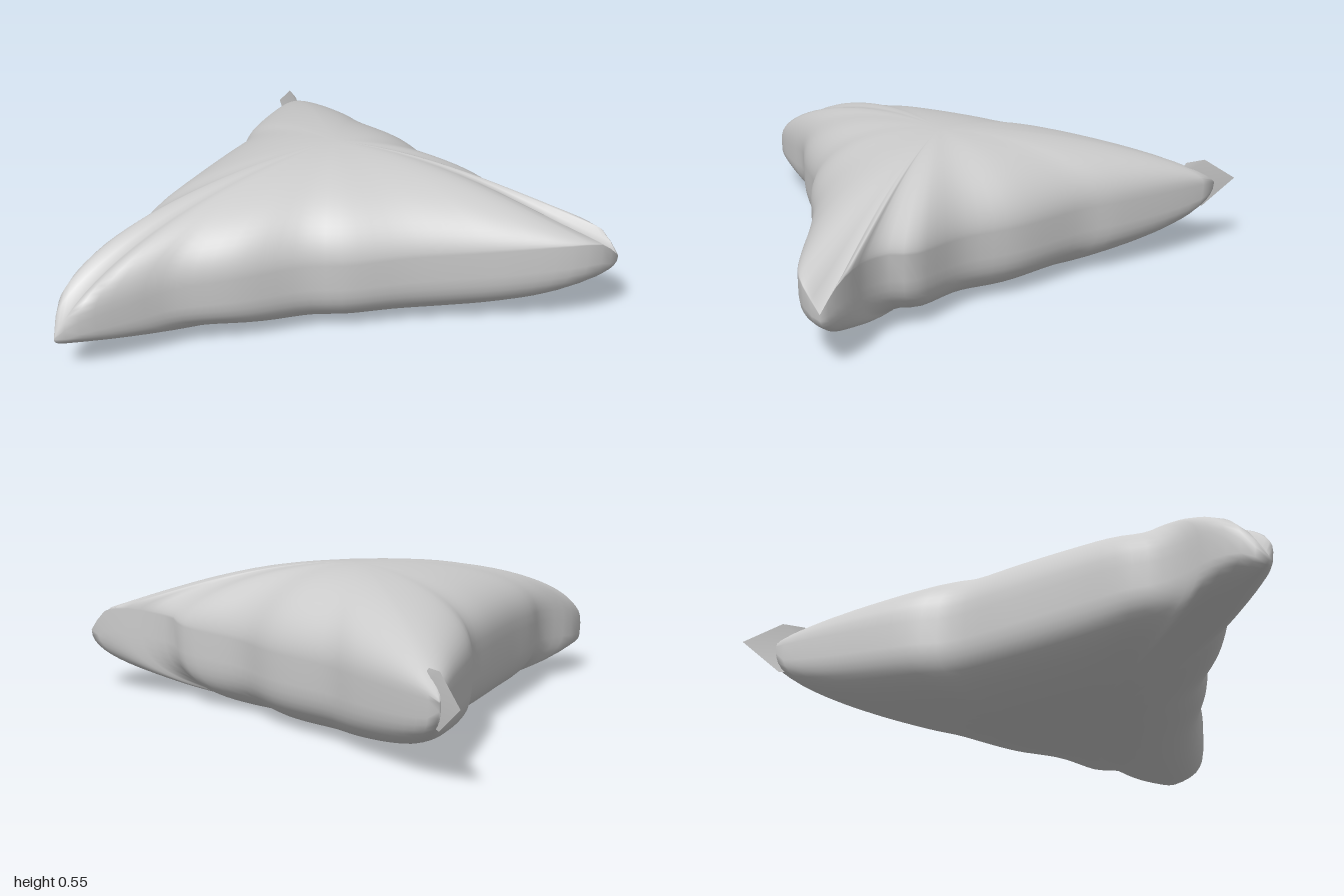
import * as THREE from 'three';
import { mergeVertices } from 'three/addons/utils/BufferGeometryUtils.js';

const material = new THREE.MeshStandardMaterial({ color: 0xcccccc, side: THREE.DoubleSide });

// Seam corners (x, y, z)
const right = [0.87, 0.23, -0.02], front = [-0.85, 0.12, 1.0], back = [-0.74, 0.28, -0.93];

// Seam along each side, corner to corner
const sides = [
  [right, [0.83, 0.3, 0.06], [0.75, 0.31, 0.12], [0.56, 0.3, 0.2], [0.42, 0.29, 0.25], [0.2, 0.28, 0.34],
    [0, 0.27, 0.45], [-0.13, 0.27, 0.5], [-0.32, 0.26, 0.64], [-0.53, 0.24, 0.76], [-0.62, 0.22, 0.85], [-0.78, 0.18, 0.99], front],
  [front, [-0.87, 0.19, 0.92], [-0.85, 0.22, 0.81], [-0.79, 0.24, 0.7], [-0.76, 0.25, 0.6], [-0.76, 0.26, 0.48],
    [-0.73, 0.27, 0.26], [-0.7, 0.27, 0], [-0.68, 0.27, -0.23], [-0.71, 0.27, -0.35], [-0.73, 0.28, -0.7], back],
  [back, [-0.6, 0.28, -0.83], [-0.37, 0.28, -0.65], [-0.27, 0.28, -0.56], [0, 0.28, -0.4], [0.18, 0.28, -0.25],
    [0.44, 0.3, -0.16], [0.49, 0.31, -0.1], [0.6, 0.32, -0.06], [0.7, 0.33, -0.06], [0.8, 0.31, -0.05], right],
];

function createCushion() {
  const perSide = 36, rings = 20, cx = -0.2, midY = 0.28, topY = 0.545;
  const seam = [];
  sides.forEach((pts, k) => {
    const curve = new THREE.CatmullRomCurve3(pts.map(p => new THREE.Vector3(...p)), false, 'centripetal');
    curve.getSpacedPoints(perSide).slice(0, perSide).forEach((p, i) => {
      // corner weights of this seam point: right, front, back
      const w = [0, 0, 0];
      w[k] = 1 - i / perSide;
      w[(k + 1) % 3] = i / perSide;
      seam.push({ p, w });
    });
  });

  // Rings run from the top centre out to the seam and back to the bottom centre
  const positions = [], index = [], n = seam.length;
  for (let r = 0; r <= 2 * rings; r++) {
    const s = r === 2 * rings ? 0 : Math.sin((r / rings) * Math.PI / 2);
    for (const { p, w } of seam) {
      const [a, b, c] = w.map(v => v * s + (1 - s) / 3);
      const puff = Math.max(0, 27 * a * b * c);
      const base = midY + (p.y - midY) * s * s;
      const y = r <= rings
        ? base + (topY - base) * Math.pow(puff, 0.38 + 0.3 * a)
        : Math.max(0, base * (1 - 1.09 * Math.pow(puff, 0.23)));
      positions.push(cx + (p.x - cx) * s, y, p.z * s);
    }
  }
  for (let r = 0; r < 2 * rings; r++) {
    for (let j = 0; j < n; j++) {
      const k = (j + 1) % n, u = r * n, v = u + n;
      if (r > 0) index.push(u + j, u + k, v + j);
      if (r < 2 * rings - 1) index.push(u + k, v + k, v + j);
    }
  }
  let g = new THREE.BufferGeometry();
  g.setAttribute('position', new THREE.Float32BufferAttribute(positions, 3));
  g.setIndex(index);
  g = mergeVertices(g, 1e-5);
  g.computeVertexNormals();
  const mesh = new THREE.Mesh(g, material);
  mesh.name = 'cushion';
  return mesh;
}

// Thin upright flap of cloth at the back corner
function createCornerFlap() {
  const g = new THREE.BufferGeometry();
  g.setAttribute('position', new THREE.Float32BufferAttribute([
    -0.62, 0.28, -0.78, -0.68, 0.365, -0.83, -0.73, 0.37, -0.89,
    -0.82, 0.28, -0.99, -0.73, 0.18, -0.89, -0.68, 0.185, -0.83,
  ], 3));
  g.setIndex([0, 2, 1, 0, 3, 2, 0, 4, 3, 0, 5, 4]);
  g.computeVertexNormals();
  const mesh = new THREE.Mesh(g, material);
  mesh.name = 'backCornerFlap';
  return mesh;
}

export function createModel() {
  const group = new THREE.Group();
  group.name = 'triangularCushion';
  group.add(createCushion(), createCornerFlap());
  return group;
}
